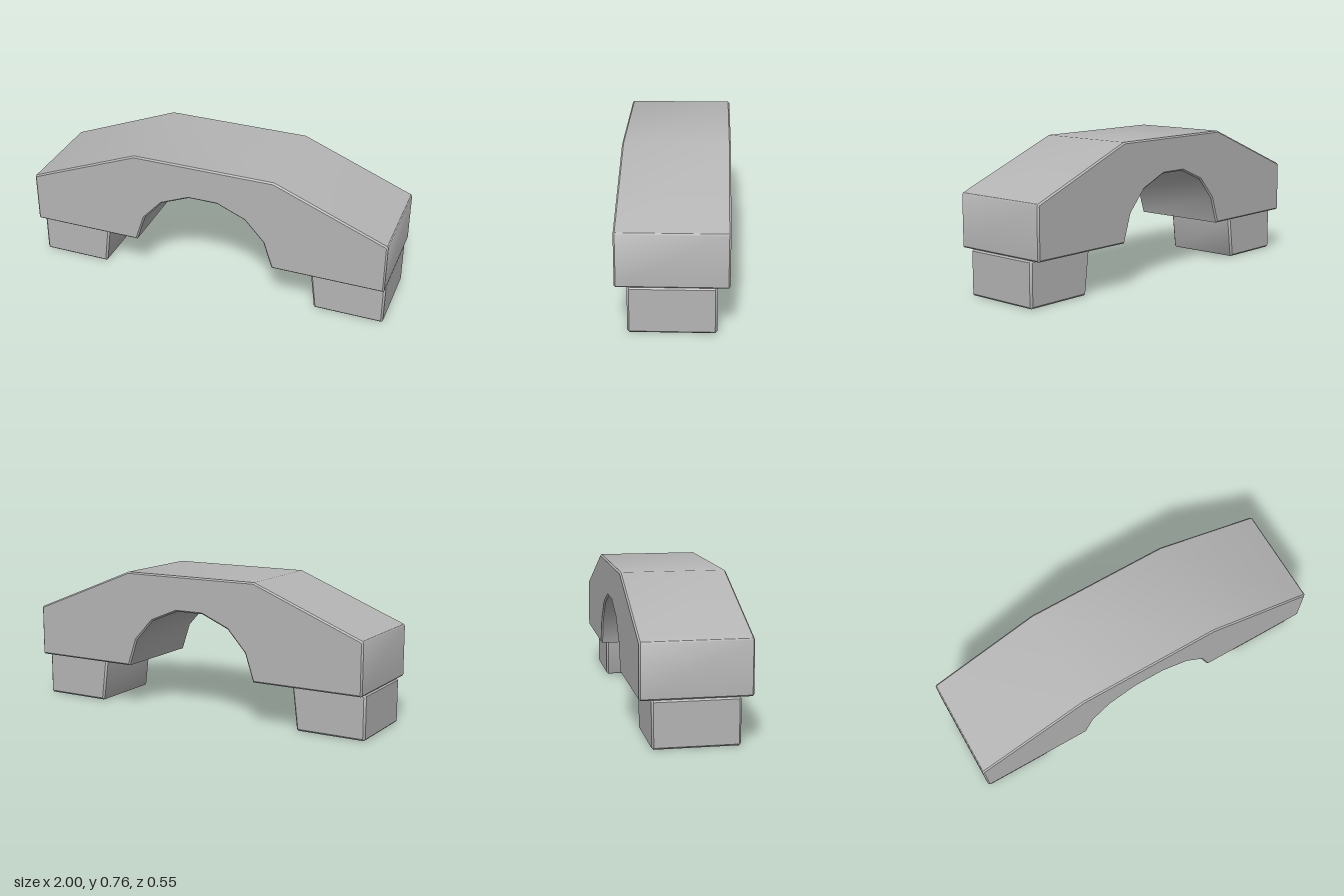
import * as THREE from 'three';
import { toCreasedNormals } from 'three/addons/utils/BufferGeometryUtils.js';

// Extrude a side outline along z, centred, with slim chamfers inside the given size
function chamferedBlock(points, depth, bevel, material, name) {
  const shape = new THREE.Shape(points.map(([x, y]) => new THREE.Vector2(x, y)));
  const geometry = new THREE.ExtrudeGeometry(shape, {
    depth: depth - 2 * bevel,
    bevelEnabled: true,
    bevelThickness: bevel,
    bevelSize: bevel,
    bevelOffset: -bevel,
    bevelSegments: 1,
  });
  geometry.translate(0, 0, -depth / 2 + bevel);
  const mesh = new THREE.Mesh(toCreasedNormals(geometry, 0.6), material);
  mesh.name = name;
  return mesh;
}

export function createModel() {
  const group = new THREE.Group();
  group.name = 'archBridge';
  const stone = new THREE.MeshStandardMaterial({ color: 0xb4b4b4 });
  stone.name = 'light grey';

  // Arched span: right half of the outline, then its mirror
  const half = [
    [0.08, 0.57], [0.235, 0.505], [0.34, 0.39], [0.39, 0.24],
    [0.993, 0.24], [1, 0.247], [1, 0.511], [0.994, 0.52], [0.39, 0.762],
  ];
  const mirrored = half.map(([x, y]) => [-x, y]).reverse();
  group.add(chamferedBlock([...half, ...mirrored], 0.554, 0.008, stone, 'archSpan'));

  // Feet: straight outside, tapered inside
  const foot = [
    [0.622, 0], [0.987, 0], [0.996, 0.009], [0.996, 0.23],
    [0.987, 0.24], [0.597, 0.24], [0.588, 0.23], [0.615, 0.009],
  ];
  for (const side of [1, -1]) {
    const points = foot.map(([x, y]) => [side * x, y]);
    if (side < 0) points.reverse();
    group.add(chamferedBlock(points, 0.434, 0.01, stone, side > 0 ? 'leftFoot' : 'rightFoot'));
  }
  return group;
}
